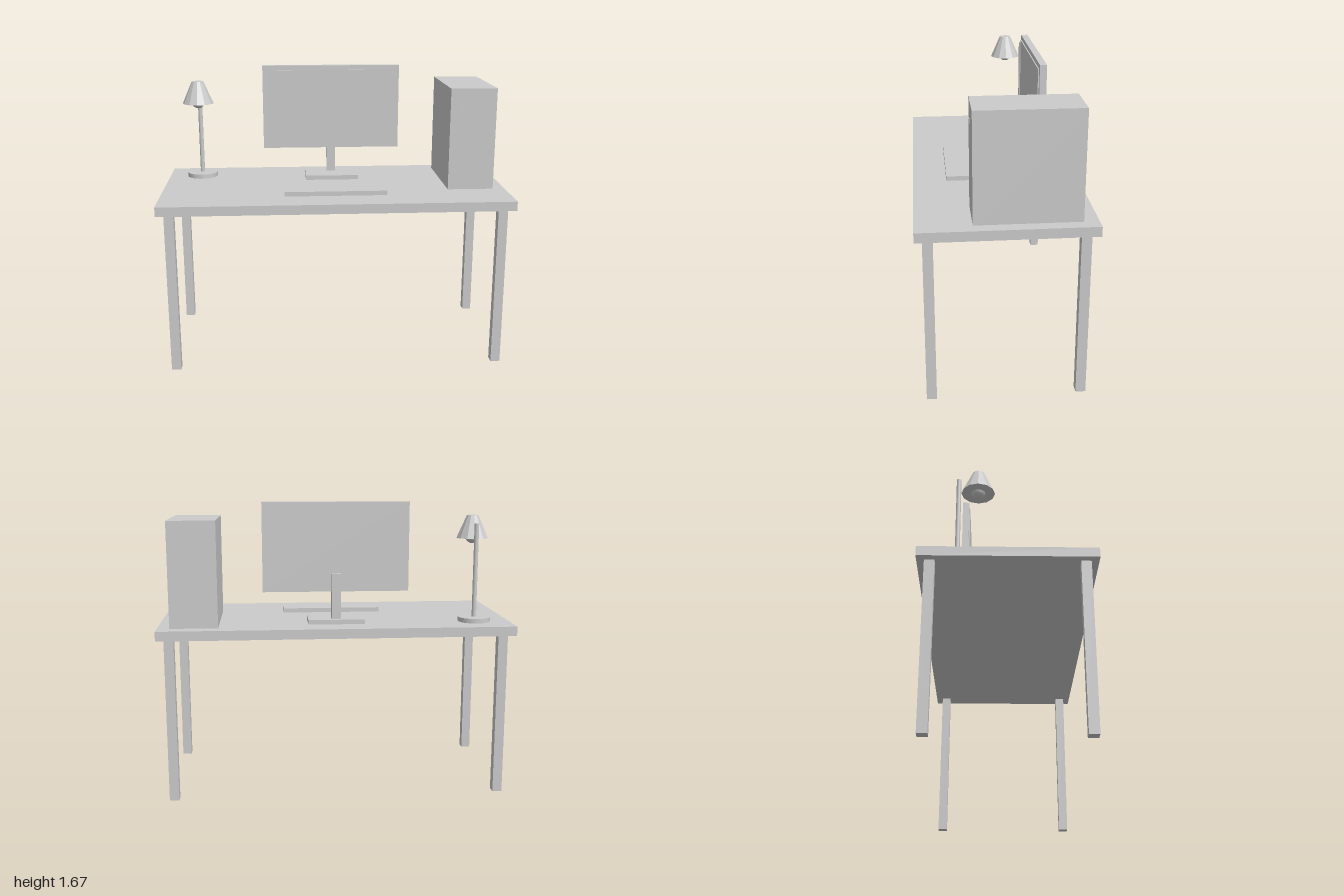
import * as THREE from 'three';

const grey = new THREE.MeshStandardMaterial({ color: 0xcccccc });
const flat = new THREE.MeshStandardMaterial({ color: 0xcccccc, flatShading: true });

// Box given by its x, y and z ranges
function box(name, [x0, x1], [y0, y1], [z0, z1]) {
  const mesh = new THREE.Mesh(new THREE.BoxGeometry(x1 - x0, y1 - y0, z1 - z0), grey);
  mesh.position.set((x0 + x1) / 2, (y0 + y1) / 2, (z0 + z1) / 2);
  mesh.name = name;
  return mesh;
}

// Upright round part between two heights
function round(name, rTop, rBottom, [y0, y1], x, z, sides, material = grey) {
  const mesh = new THREE.Mesh(new THREE.CylinderGeometry(rTop, rBottom, y1 - y0, sides), material);
  mesh.position.set(x, (y0 + y1) / 2, z);
  mesh.name = name;
  return mesh;
}

function group(name, ...parts) {
  const g = new THREE.Group();
  g.name = name;
  g.add(...parts);
  return g;
}

export function createModel() {
  const top = 0.987;

  // Desk
  const desk = group('desk', box('desktop', [-1, 1], [0.933, top], [-0.467, 0.467]));
  for (const sx of [-1, 1]) {
    for (const sz of [-1, 1]) {
      const x = sx * 0.933, z = sz * 0.4;
      const name = (sz > 0 ? 'front' : 'back') + (sx > 0 ? 'Left' : 'Right') + 'Leg';
      desk.add(box(name, [x - 0.027, x + 0.027], [0, 0.933], [z - 0.027, z + 0.027]));
    }
  }

  // Monitor on its stand
  const monitor = group('monitor',
    box('standBase', [-0.16, 0.16], [top, 1.013], [-0.32, -0.108]),
    box('standPost', [-0.026, 0.026], [1.013, 1.27], [-0.29, -0.238]),
    box('casing', [-0.415, 0.415], [1.166, 1.67], [-0.26, -0.222]),
    box('screen', [-0.388, 0.388], [1.192, 1.643], [-0.23, -0.216]));

  const keyboard = box('keyboard', [-0.293, 0.293], [top, 1.013], [0.093, 0.28]);

  // Computer tower with a small power button
  const tower = group('computer',
    box('tower', [0.663, 0.93], [top, 1.577], [-0.387, 0.173]),
    box('powerButton', [0.715, 0.741], [1.457, 1.483], [0.165, 0.176]));

  // Desk lamp, its shade hanging in front of the pole
  const bulb = new THREE.Mesh(new THREE.SphereGeometry(0.04, 16, 12), grey);
  bulb.name = 'bulb';
  bulb.position.set(-0.8, 1.467, -0.16);
  const lamp = group('lamp',
    round('lampBase', 0.092, 0.092, [top, 1.013], -0.8, -0.267, 32),
    round('lampPole', 0.013, 0.013, [1.013, 1.546], -0.8, -0.267, 16),
    round('lampShade', 0.034, 0.092, [1.457, 1.588], -0.8, -0.16, 12, flat),
    bulb);

  return group('computerDesk', desk, monitor, keyboard, tower, lamp);
}
